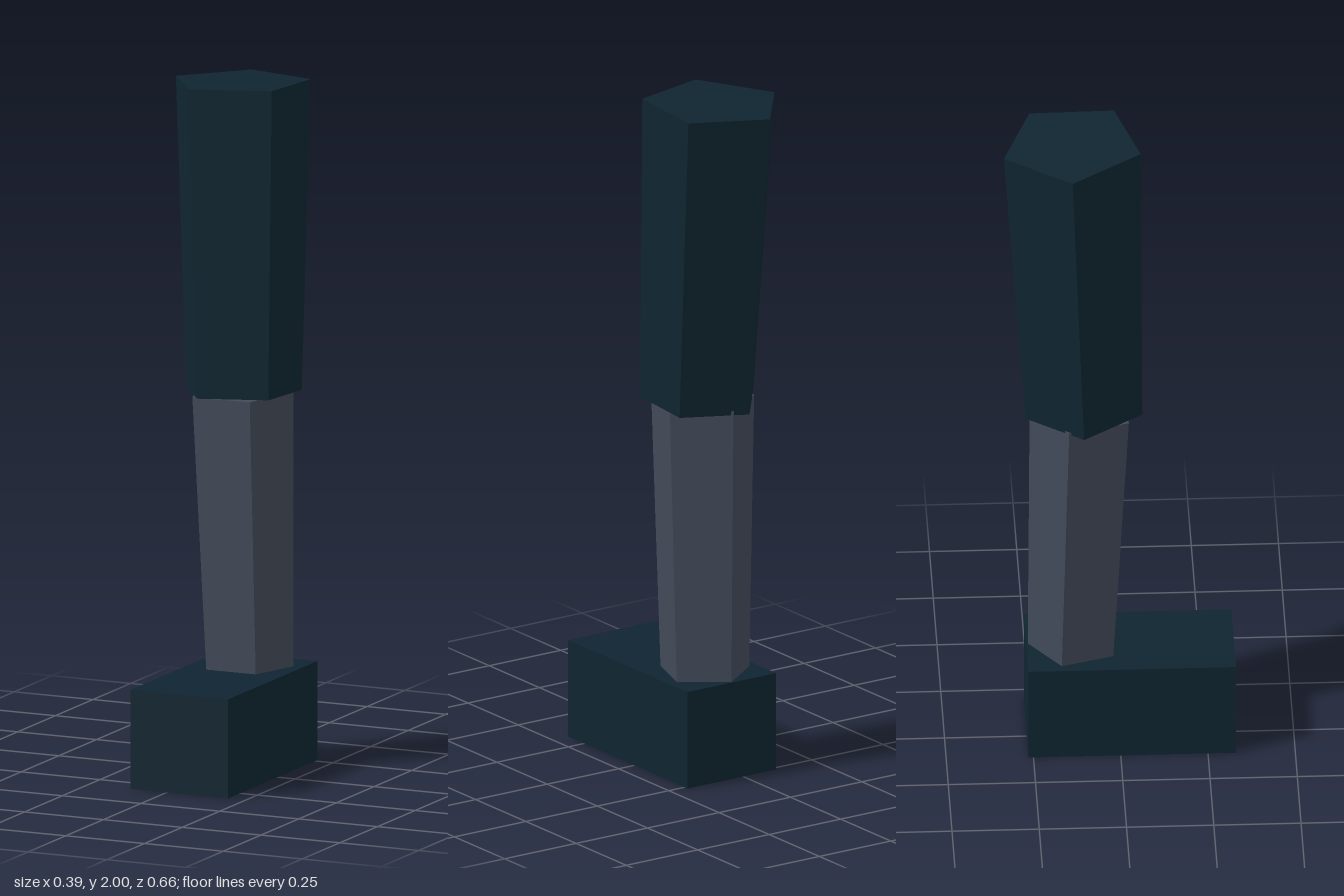
import * as THREE from 'three';

const navy = new THREE.MeshStandardMaterial({ color: 0x0f2531, flatShading: true });
navy.name = 'dark navy';
const slate = new THREE.MeshStandardMaterial({ color: 0x424a59, flatShading: true });
slate.name = 'slate grey';

// Tapered five-sided limb segment running from one joint to the next
function limb(name, from, to, rBottom, rTop, turnDegrees, material) {
  const a = new THREE.Vector3(...from);
  const b = new THREE.Vector3(...to);
  const geometry = new THREE.CylinderGeometry(
    rTop, rBottom, a.distanceTo(b), 5, 1, false, THREE.MathUtils.degToRad(turnDegrees));
  const mesh = new THREE.Mesh(geometry, material);
  mesh.name = name;
  mesh.position.copy(a).add(b).multiplyScalar(0.5);
  mesh.quaternion.setFromUnitVectors(new THREE.Vector3(0, 1, 0), b.sub(a).normalize());
  return mesh;
}

export function createModel() {
  const leg = new THREE.Group();
  leg.name = 'leg';

  // Block foot, longer towards the front
  const foot = new THREE.Mesh(new THREE.BoxGeometry(0.31, 0.29, 0.595), navy);
  foot.name = 'foot';
  foot.position.set(0.04, 0.145, 0.033);
  leg.add(foot);

  // Shin and thigh, both leaning slightly
  leg.add(limb('shin', [0.038, 0.27, -0.127], [0.027, 1.097, -0.1], 0.133, 0.155, 36, slate));
  leg.add(limb('thigh', [0.03, 1.094, -0.1], [0.01, 1.994, -0.134], 0.176, 0.206, -20, navy));

  return leg;
}
